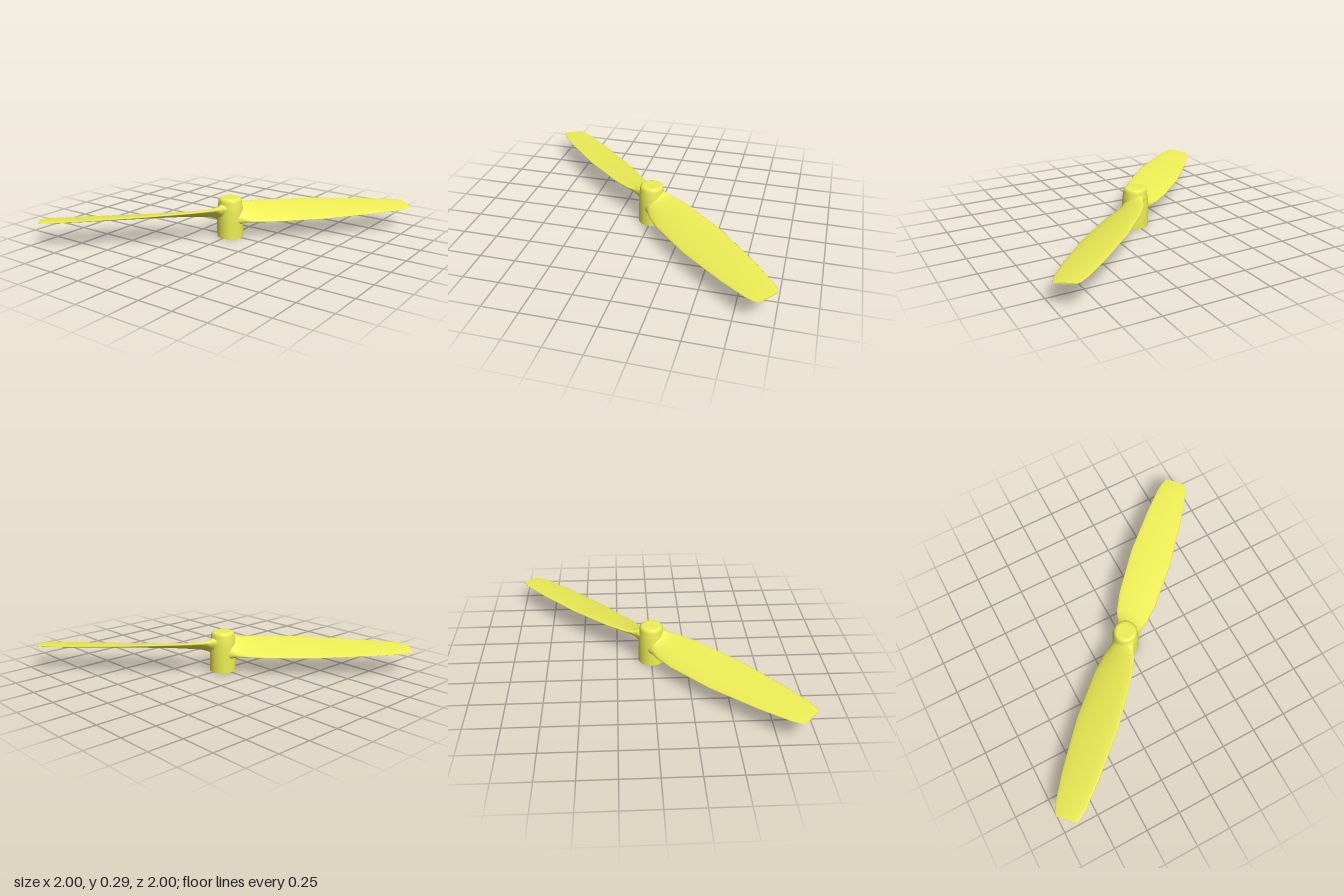
import * as THREE from 'three';

const material = new THREE.MeshStandardMaterial({ color: 0xeeee55, side: THREE.DoubleSide });

// Blade stations: distance from axis, half chord, half height of the pitch, half thickness
const stations = [
  [0.0, 0.08, 0.042, 0.062],
  [0.07, 0.084, 0.044, 0.06],
  [0.09, 0.089, 0.046, 0.046],
  [0.11, 0.096, 0.048, 0.034],
  [0.16, 0.113, 0.047, 0.024],
  [0.3, 0.137, 0.045, 0.019],
  [0.66, 0.153, 0.036, 0.014],
  [1.04, 0.131, 0.022, 0.011],
  [1.25, 0.106, 0.014, 0.009],
  [1.31, 0.09, 0.011, 0.007],
  [1.342, 0.073, 0.009, 0.005],
];

// Lofts a twisted blade along +x from elliptical sections
function bladeGeometry(sides = 28) {
  const positions = [];
  const index = [];
  for (const [u, chord, pitch, thick] of stations) {
    for (let i = 0; i < sides; i++) {
      const t = (i / sides) * Math.PI * 2;
      positions.push(u, thick * Math.sin(t) - pitch * Math.cos(t), chord * Math.cos(t));
    }
  }
  for (let s = 0; s < stations.length - 1; s++) {
    for (let i = 0; i < sides; i++) {
      const a = s * sides + i;
      const b = s * sides + ((i + 1) % sides);
      index.push(a, a + sides, b, b, a + sides, b + sides);
    }
  }
  // Close the tip with its own ring so its edge stays sharp
  const last = (stations.length - 1) * sides * 3;
  const start = positions.length / 3;
  positions.push(...positions.slice(last, last + sides * 3));
  positions.push(stations[stations.length - 1][0], 0, 0);
  for (let i = 0; i < sides; i++) {
    index.push(start + i, start + sides, start + ((i + 1) % sides));
  }
  const geometry = new THREE.BufferGeometry();
  geometry.setAttribute('position', new THREE.Float32BufferAttribute(positions, 3));
  geometry.setIndex(index);
  geometry.computeVertexNormals();
  return geometry;
}

export function createModel() {
  const group = new THREE.Group();
  group.name = 'propeller';

  // Hub: open sleeve below, narrower rounded cap above
  const profile = [
    [0.094, 0], [0.094, 0.06], [0.094, 0.12], [0.093, 0.2], [0.088, 0.235], [0.085, 0.25],
    [0.084, 0.265], [0.08, 0.279], [0.072, 0.287], [0.062, 0.29], [0.05, 0.29], [0, 0.29],
  ].map(([r, y]) => new THREE.Vector2(r, y));
  const hub = new THREE.Mesh(new THREE.LatheGeometry(profile, 32), material);
  hub.name = 'hub';
  group.add(hub);

  // Two opposite blades
  const geometry = bladeGeometry();
  ['rearBlade', 'frontBlade'].forEach((name, i) => {
    const blade = new THREE.Mesh(geometry, material);
    blade.name = name;
    blade.position.y = 0.175;
    blade.rotation.y = Math.PI / 4 + i * Math.PI;
    group.add(blade);
  });

  return group;
}
